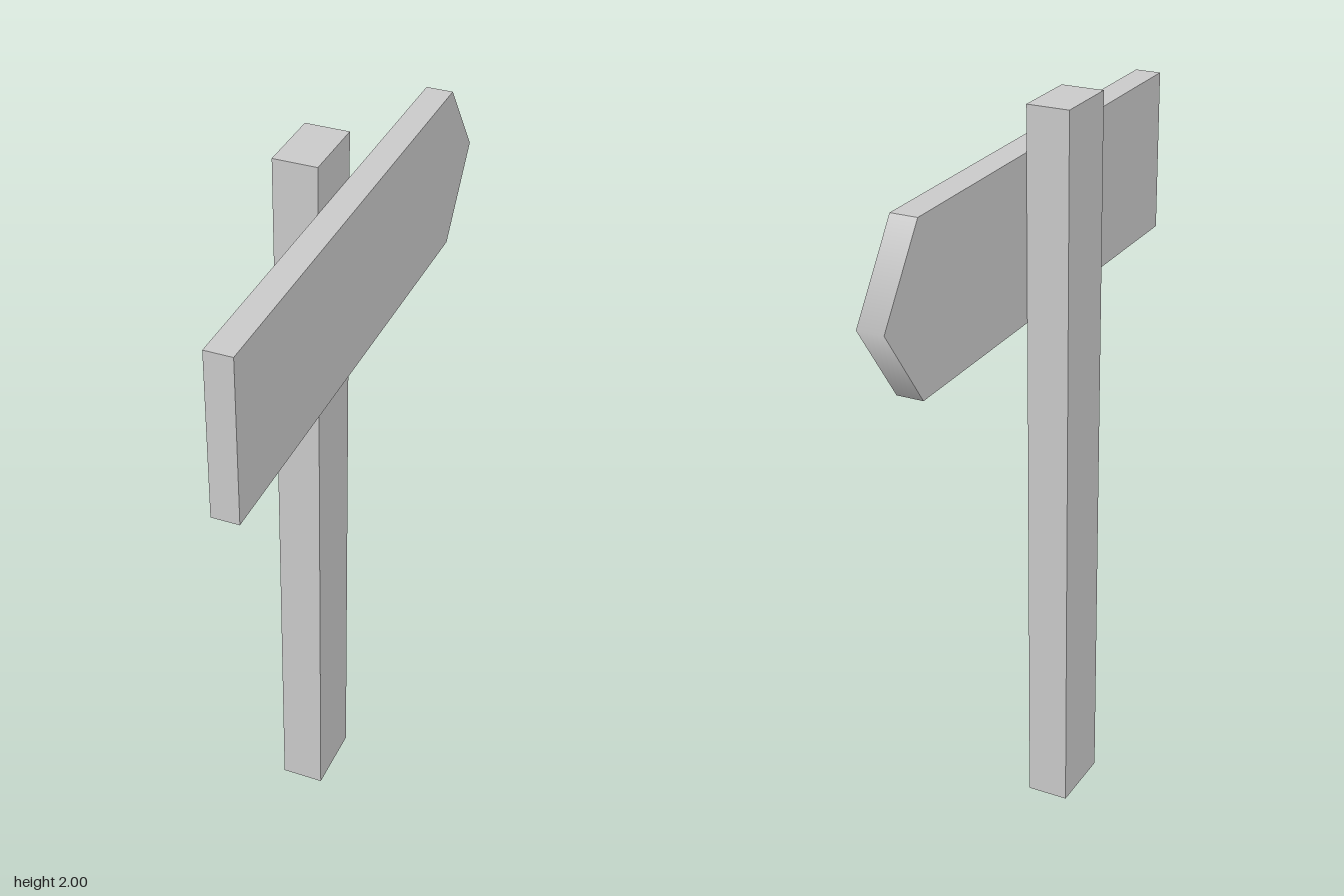
import * as THREE from 'three';

const material = new THREE.MeshStandardMaterial({ color: 0xcccccc });

// Rectangular upright, set slightly off centre behind the board
function makePost() {
  const post = new THREE.Mesh(new THREE.BoxGeometry(0.115, 2, 0.192), material);
  post.name = 'post';
  post.position.set(-0.037, 1, 0.034);
  return post;
}

// Arrow-shaped board: profile drawn lengthwise, then turned to point to -z
function makeBoard() {
  const half = 0.745, shoulder = 0.585, bottom = 1.435, top = 1.88, thickness = 0.072;
  const shape = new THREE.Shape([
    [-half, bottom], [shoulder, bottom], [half, (bottom + top) / 2], [shoulder, top], [-half, top],
  ].map(([u, v]) => new THREE.Vector2(u, v)));
  const geometry = new THREE.ExtrudeGeometry(shape, { depth: thickness, bevelEnabled: false });

  // Soft shading across the pointed end only
  const { position, normal } = geometry.attributes;
  for (let i = 0; i < position.count; i++) {
    if (position.getX(i) > half - 0.001 && Math.abs(normal.getZ(i)) < 0.5) normal.setXYZ(i, 1, 0, 0);
  }
  geometry.rotateY(Math.PI / 2);

  const board = new THREE.Mesh(geometry, material);
  board.name = 'arrowBoard';
  board.position.x = 0.021;
  return board;
}

export function createModel() {
  const signpost = new THREE.Group();
  signpost.name = 'signpost';
  signpost.add(makePost(), makeBoard());
  return signpost;
}
